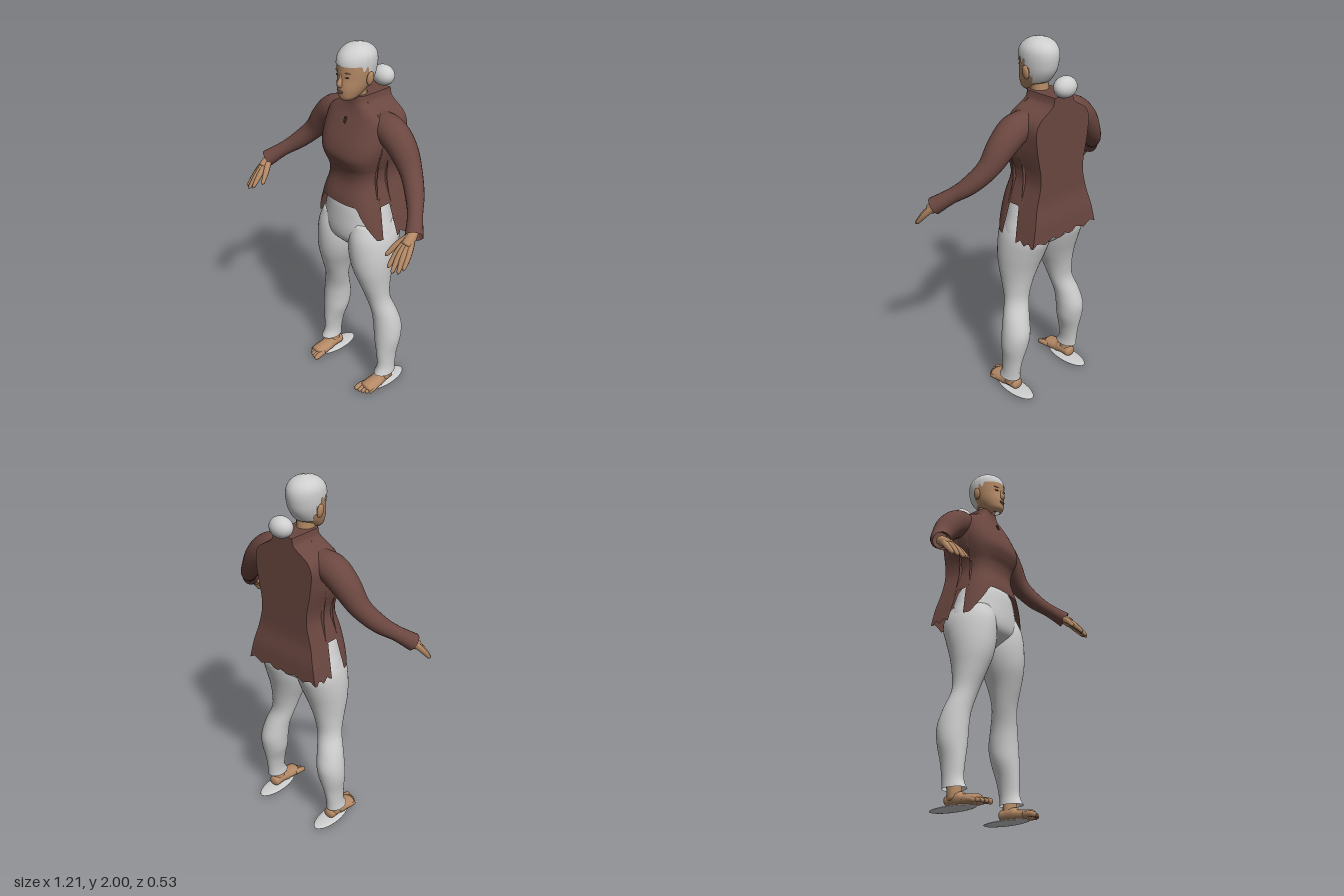
import * as THREE from 'three';
import { mergeVertices, toCreasedNormals } from 'three/addons/utils/BufferGeometryUtils.js';

const mat = (name, color, side = THREE.FrontSide) => {
  const m = new THREE.MeshStandardMaterial({ color, side });
  m.name = name;
  return m;
};
const V = (x, y, z) => new THREE.Vector3(x, y, z);

// Smooth interpolation of a table whose first column is the key
function sample(rows, t) {
  const n = rows.length - 1;
  let i = 0;
  while (i < n - 1 && t > rows[i + 1][0]) i++;
  const a = rows[i], b = rows[i + 1], h = b[0] - a[0];
  const k = Math.min(1, Math.max(0, (t - a[0]) / h)), k2 = k * k, k3 = k2 * k;
  const slope = (j, c) => {
    const p = rows[Math.max(0, j - 1)], q = rows[Math.min(n, j + 1)];
    return (q[c] - p[c]) / (q[0] - p[0]) * h;
  };
  return a.map((v, c) => c === 0 ? t :
    v * (2 * k3 - 3 * k2 + 1) + b[c] * (3 * k2 - 2 * k3) + slope(i, c) * (k3 - 2 * k2 + k) + slope(i + 1, c) * (k3 - k2));
}

// Body of horizontal sections [y, halfWidth, frontZ, backZ, flatBackHalfWidth]
function loft(rows, { cx = 0, cz, p = 1, hem, flat = false, cap = false, crease, grow = 0, N = 20, M = 40 } = {}) {
  const pos = [], idx = [], top = rows[rows.length - 1][0], W = 2 * N + 1;
  for (let j = 0; j <= M + (cap ? 1 : 0); j++) {
    for (let i = -N; i <= N; i++) {
      const u = Math.abs(i) / N, s = Math.sign(i);
      const low = hem ? hem(u) : rows[0][0];
      const y = low + (top - low) * Math.min(1, j / M);
      let [, w, f, b, wb] = sample(rows, y);
      w += grow; f += grow; b -= grow;
      const c = cz ?? (f + b) / 2, a = u * Math.PI;
      let x, z;
      if (flat && u > 0.8) {
        x = wb * (1 - u) / 0.2; z = b;
      } else if (flat && u > 0.5) {
        const q = (u - 0.5) / 0.3;
        x = w + (wb - w) * q; z = c + (b - c) * q;
      } else {
        const co = Math.cos(a);
        x = w * Math.abs(Math.sin(a)) ** p;
        z = c + Math.sign(co) * Math.abs(co) ** p * (co > 0 ? f - c : c - b);
      }
      if (j > M) { x = 0; z = (f + b) / 2; }
      pos.push(cx + s * x, y + (j === M ? grow : 0), z);
    }
  }
  const H = pos.length / 3 / W;
  for (let j = 0; j < H - 1; j++) for (let i = 0; i < W - 1; i++) {
    const a = j * W + i, d = a + W;
    idx.push(a, a + 1, d + 1, a, d + 1, d);
  }
  let g = new THREE.BufferGeometry();
  g.setAttribute('position', new THREE.Float32BufferAttribute(pos, 3));
  g.setIndex(idx);
  g = mergeVertices(g);
  if (crease) return toCreasedNormals(g, crease);
  g.computeVertexNormals();
  return g;
}

// Tube of varying radius along a curve; round closes both ends
function limb(pts, radii, { round = true, seg = 24, sides = 12 } = {}) {
  const curve = new THREE.CatmullRomCurve3(pts);
  let g = new THREE.TubeGeometry(curve, seg, 1, sides);
  const pos = g.attributes.position, rows = radii.map((r, i) => [i / (radii.length - 1), r]), v = V(0, 0, 0);
  for (let i = 0; i < pos.count; i++) {
    const t = Math.floor(i / (sides + 1)) / seg, c = curve.getPointAt(t);
    let r = sample(rows, t)[1];
    if (round) r *= Math.sqrt(Math.max(0, 1 - Math.max(0, Math.abs(2 * t - 1) - 0.82) ** 2 / 0.0324)) + 0.001;
    v.fromBufferAttribute(pos, i).sub(c).multiplyScalar(r).add(c);
    pos.setXYZ(i, v.x, v.y, v.z);
  }
  g.deleteAttribute('uv');
  g.deleteAttribute('normal');
  g = mergeVertices(g);
  g.computeVertexNormals();
  return g;
}

export function createModel() {
  const root = new THREE.Group();
  root.name = 'standingFigure';
  const skin = mat('skin', 0xb58a66);
  const brown = mat('jacketBrown', 0x6b4740, THREE.DoubleSide);
  const pale = mat('paleGrey', 0xcecece, THREE.DoubleSide);
  const dark = mat('darkBrown', 0x4a342b);
  const lip = mat('lipTone', 0x9a6b52);
  const add = (name, geo, m, parent = root) => {
    const mesh = new THREE.Mesh(geo, m);
    mesh.name = name;
    parent.add(mesh);
    return mesh;
  };
  const blob = (name, m, [x, y, z], [a, b, c]) => {
    const o = add(name, new THREE.SphereGeometry(1, 24, 16), m);
    o.position.set(x, y, z);
    o.scale.set(a, b, c);
    return o;
  };

  // Head, neck and hair cap
  const headRows = [
    [1.725, 0.02, 0.05, 0.005], [1.74, 0.042, 0.067, -0.03], [1.77, 0.06, 0.074, -0.075], [1.8, 0.071, 0.075, -0.105],
    [1.84, 0.08, 0.07, -0.13], [1.88, 0.085, 0.07, -0.141], [1.92, 0.086, 0.068, -0.144], [1.95, 0.08, 0.055, -0.136],
    [1.975, 0.062, 0.03, -0.115], [1.99, 0.038, 0, -0.083], [1.997, 0.004, -0.035, -0.045]];
  add('head', loft(headRows, { cap: true }), skin);
  add('neck', limb([V(0, 1.62, -0.06), V(0, 1.7, -0.05), V(0, 1.8, -0.035)], [0.055, 0.047, 0.05]), skin);
  const hairline = u => u < 0.4 ? 1.905 : u < 0.44 ? 1.88 : u < 0.5 ? 1.9 : u < 0.6 ? 1.865 : u < 0.66 ? 1.82 : 1.785;
  add('hairCap', loft(headRows, { hem: hairline, grow: 0.004, cap: true, N: 40 }), pale);
  blob('hairBun', pale, [0, 1.79, -0.217], [0.064, 0.053, 0.052]);

  // Face details
  const faceZ = (x, y) => {
    const [, w, f, b] = sample(headRows, y), c = (f + b) / 2;
    return c + (f - c) * Math.sqrt(1 - (x / w) ** 2);
  };
  add('nose', limb([V(0, 1.862, 0.064), V(0, 1.835, 0.071), V(0, 1.814, 0.078), V(0, 1.805, 0.066)], [0.007, 0.009, 0.013, 0.013]), skin);
  blob('upperLip', lip, [0, 1.781, faceZ(0, 1.781)], [0.022, 0.004, 0.005]);
  blob('lowerLip', lip, [0, 1.773, faceZ(0, 1.773)], [0.018, 0.005, 0.005]);
  for (const s of [1, -1]) {
    blob('eye', dark, [s * 0.034, 1.852, faceZ(0.034, 1.852)], [0.013, 0.0035, 0.004]).rotation.y = s * 0.3;
    blob('eyebrow', lip, [s * 0.036, 1.874, faceZ(0.036, 1.874)], [0.018, 0.003, 0.004]).rotation.y = s * 0.3;
    blob('ear', skin, [s * 0.09, 1.84, -0.04], [0.012, 0.036, 0.021]).rotation.z = -s * 0.15;
  }

  // Jacket with flat back, side slits and a short front hem
  const jacketRows = [
    [0.99, 0.24, 0.105, -0.235, 0.23], [1.1, 0.215, 0.105, -0.228, 0.205], [1.2, 0.186, 0.095, -0.212, 0.178],
    [1.3, 0.156, 0.068, -0.21, 0.152], [1.36, 0.158, 0.073, -0.21, 0.15], [1.4, 0.17, 0.092, -0.21, 0.155],
    [1.45, 0.185, 0.107, -0.21, 0.165], [1.51, 0.195, 0.093, -0.21, 0.175], [1.6, 0.19, 0.05, -0.21, 0.18],
    [1.65, 0.172, 0.024, -0.21, 0.155], [1.68, 0.125, 0.012, -0.21, 0.11], [1.705, 0.078, 0.006, -0.21, 0.072],
    [1.745, 0.064, 0.002, -0.21, 0.06]];
  const jacketHem = u => u < 0.19 ? 1.183 : u < 0.38 ? 1.183 - 0.173 * ((u - 0.19) / 0.19) ** 0.8 :
    u < 0.46 ? 1.01 : u < 0.6 ? 1.18 : 1.005 + 0.012 * Math.sin(u * 70);
  add('jacket', loft(jacketRows, { cz: -0.05, p: 0.75, hem: jacketHem, flat: true, cap: true, crease: 0.65, N: 40, M: 56 }), brown);
  const pull = add('zipPull', new THREE.BoxGeometry(0.012, 0.032, 0.009), dark);
  pull.position.set(0, 1.622, 0.042);
  pull.rotation.x = -0.3;

  // Trousers: hips, then legs
  add('hips', loft([
    [0.88, 0.04, 0.0, -0.08], [0.92, 0.13, 0.05, -0.14], [0.96, 0.205, 0.085, -0.185], [1.01, 0.228, 0.097, -0.21],
    [1.1, 0.203, 0.095, -0.2], [1.18, 0.178, 0.086, -0.18], [1.22, 0.155, 0.07, -0.16]], { cap: true }), pale);
  const legRows = [ // y, half width, front, back, centre x
    [0.1, 0.05, 0.02, -0.115, 0.23], [0.14, 0.044, 0.0, -0.117, 0.23], [0.23, 0.051, 0.0, -0.132, 0.225],
    [0.33, 0.073, 0.0, -0.155, 0.217], [0.41, 0.076, 0.0, -0.164, 0.211], [0.5, 0.072, 0.004, -0.142, 0.197],
    [0.6, 0.069, 0.023, -0.111, 0.169], [0.7, 0.083, 0.057, -0.12, 0.153], [0.8, 0.106, 0.088, -0.145, 0.137],
    [0.9, 0.12, 0.1, -0.182, 0.125], [1.0, 0.116, 0.096, -0.214, 0.118], [1.08, 0.1, 0.07, -0.19, 0.105]];
  for (const s of [1, -1]) {
    const side = s > 0 ? 'left' : 'right';
    const P = (...a) => a.map(([x, y, z]) => V(s * x, y, z));
    const leg = loft(legRows, { cap: true });
    const lp = leg.attributes.position;
    for (let i = 0; i < lp.count; i++) lp.setX(i, lp.getX(i) + s * sample(legRows, lp.getY(i))[4]);
    leg.computeVertexNormals();
    add(side + 'TrouserLeg', leg, pale);

    // Sleeve with open flared cuff
    add(side + 'Sleeve', limb(
      P([0.11, 1.605, -0.085], [0.2, 1.59, -0.08], [0.28, 1.53, -0.078], [0.36, 1.43, -0.062], [0.44, 1.345, -0.008], [0.51, 1.283, 0.062], [0.56, 1.235, 0.118]),
      [0.07, 0.078, 0.07, 0.055, 0.047, 0.038, 0.045], { round: false, seg: 40, sides: 20 }), brown);

    // Hand: wrist, four fingers and a thumb
    const hand = new THREE.Group();
    hand.name = side + 'Hand';
    root.add(hand);
    add('wrist', limb(P([0.52, 1.27, 0.075], [0.548, 1.235, 0.12], [0.55, 1.195, 0.165]), [0.027, 0.026, 0.028]), skin, hand);
    const fingers = [
      [[0.582, 1.172, 0.172], [0.598, 1.108, 0.225]], [[0.568, 1.168, 0.192], [0.587, 1.094, 0.248]],
      [[0.55, 1.168, 0.2], [0.56, 1.09, 0.263]], [[0.532, 1.174, 0.195], [0.528, 1.105, 0.257]],
      [[0.506, 1.192, 0.172], [0.478, 1.135, 0.225]]];
    fingers.forEach(([k, t], i) => add(i < 4 ? 'finger' : 'thumb',
      limb(P([0.549, 1.24, 0.115], k, t), [0.018, 0.016, 0.009], { seg: 16, sides: 8 }), skin, hand));

    // Foot: ankle, instep and toes, with a flat oval sole
    const foot = new THREE.Group();
    foot.name = side + 'Foot';
    root.add(foot);
    add('ankle', limb(P([0.228, 0.2, -0.06], [0.225, 0.11, -0.055], [0.22, 0.04, -0.05]), [0.038, 0.036, 0.04]), skin, foot);
    const instep = limb(P([0.214, 0.048, -0.11], [0.217, 0.053, -0.04], [0.218, 0.04, 0.03], [0.216, 0.03, 0.1]), [0.033, 0.038, 0.045, 0.045]);
    const ip = instep.attributes.position;
    for (let i = 0; i < ip.count; i++) {
      const z = ip.getZ(i), mid = 0.045 - 0.1 * Math.max(0, z);
      ip.setY(i, Math.max(0.014, mid + (ip.getY(i) - mid) * (z > 0 ? 0.65 : 0.9)));
    }
    instep.computeVertexNormals();
    add('instep', instep, skin, foot);
    [[0.178, 0.136], [0.201, 0.132], [0.221, 0.124], [0.239, 0.112], [0.255, 0.096]].forEach(([x, z], i) => add('toe',
      limb(P([x * 0.8 + 0.043, 0.036, z - 0.08], [x, 0.034, z - 0.03], [x, 0.024, z]), i ? [0.013, 0.012, 0.01] : [0.017, 0.016, 0.013], { seg: 14, sides: 8 }), skin, foot));
    blob(side + 'Sole', pale, [s * 0.212, 0.013, -0.07], [0.057, 0.012, 0.14]);
  }
  return root;
}
